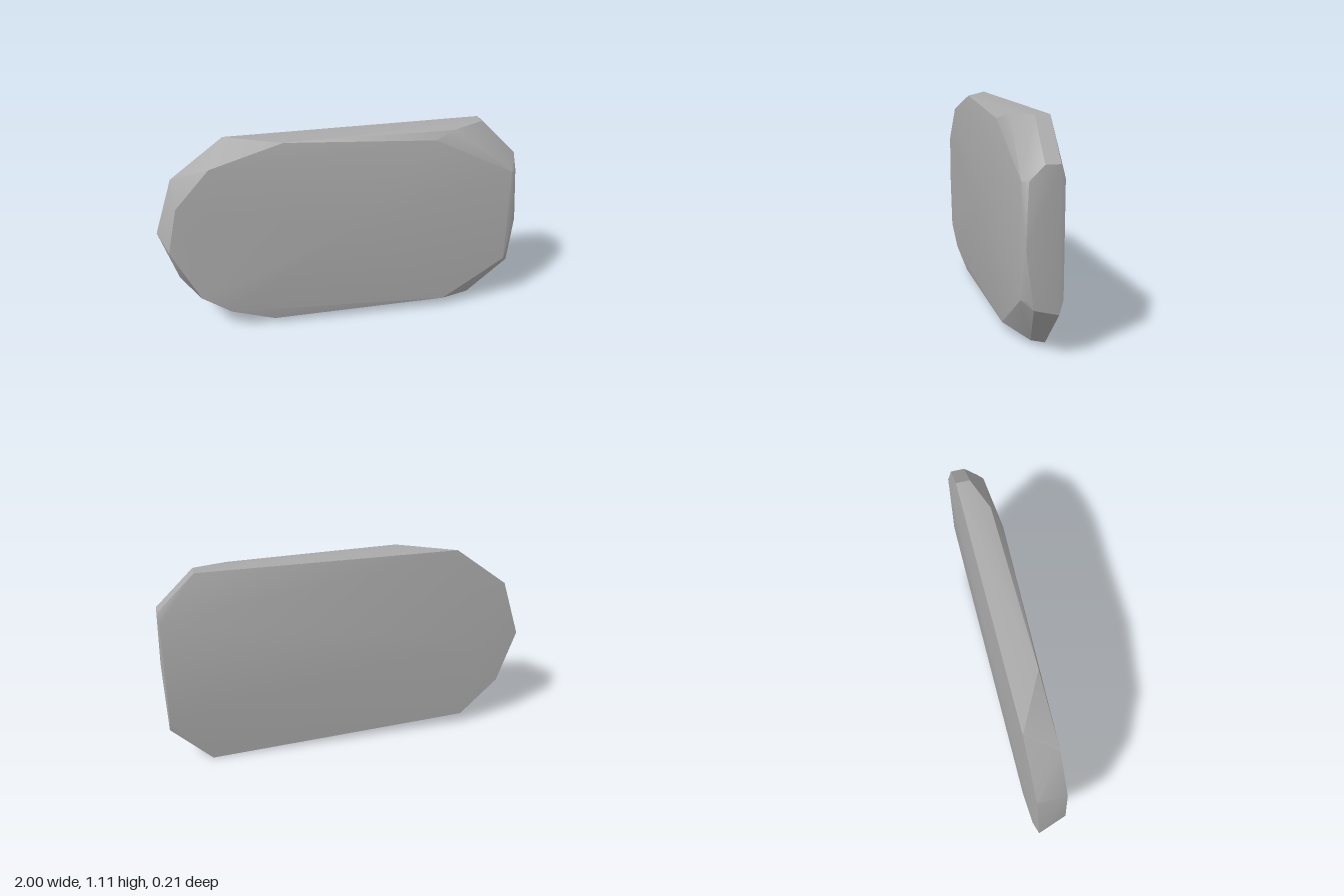
import * as THREE from 'three';
import { ConvexGeometry } from 'three/addons/geometries/ConvexGeometry.js';
import { toCreasedNormals } from 'three/addons/utils/BufferGeometryUtils.js';

export function createModel() {
  const group = new THREE.Group();
  group.name = 'stoneSlab';
  const stone = new THREE.MeshStandardMaterial({ color: 0xaaaaaa });
  stone.name = 'stone grey';

  // Rim of the front face, clockwise from the pointed end
  const frontRim = [
    [-0.94, 0.52, 0.07], [-0.885, 0.78, 0.08], [-0.7, 0.99, 0.08], [-0.31, 1.105, 0.07],
    [0.5, 1.065, 0.095], [0.95, 0.84, 0.088], [0.998, 0.54, 0.075], [0.95, 0.29, 0.088],
    [0.6, 0.06, 0.088], [-0.39, 0.035, 0.07], [-0.63, 0.12, 0.085], [-0.79, 0.23, 0.088],
  ];
  // Shallow crown of the front face
  const crown = [[0.05, 0.58, 0.106]];
  // Chipped corners on the squarer end
  const chips = [
    [0.61, 1.1, 0.055], [0.79, 1.112, -0.015], [0.99, 0.915, -0.01], [0.98, 0.84, 0.06],
    [0.98, 0.29, 0.06], [0.99, 0.25, 0.035], [0.78, 0.025, -0.01],
  ];
  // Outline of the back and its slight bulge
  const backRim = [
    [-1, 0.565, -0.09], [-0.9, 0.88, -0.085], [-0.61, 1.1, -0.085], [0.79, 1.112, -0.09],
    [0.99, 0.915, -0.085], [0.99, 0.22, -0.085], [0.77, 0.003, -0.085],
    [-0.69, 0.07, -0.09], [-0.9, 0.27, -0.09],
  ];
  const backBulge = [[0.985, 0.85, -0.106], [0.985, 0.29, -0.106], [-0.8, 0.55, -0.105]];

  const points = [...frontRim, ...crown, ...chips, ...backRim, ...backBulge]
    .map((p) => new THREE.Vector3(...p));
  const slab = new THREE.Mesh(toCreasedNormals(new ConvexGeometry(points), 0.5), stone);
  slab.name = 'slab';
  group.add(slab);
  return group;
}
